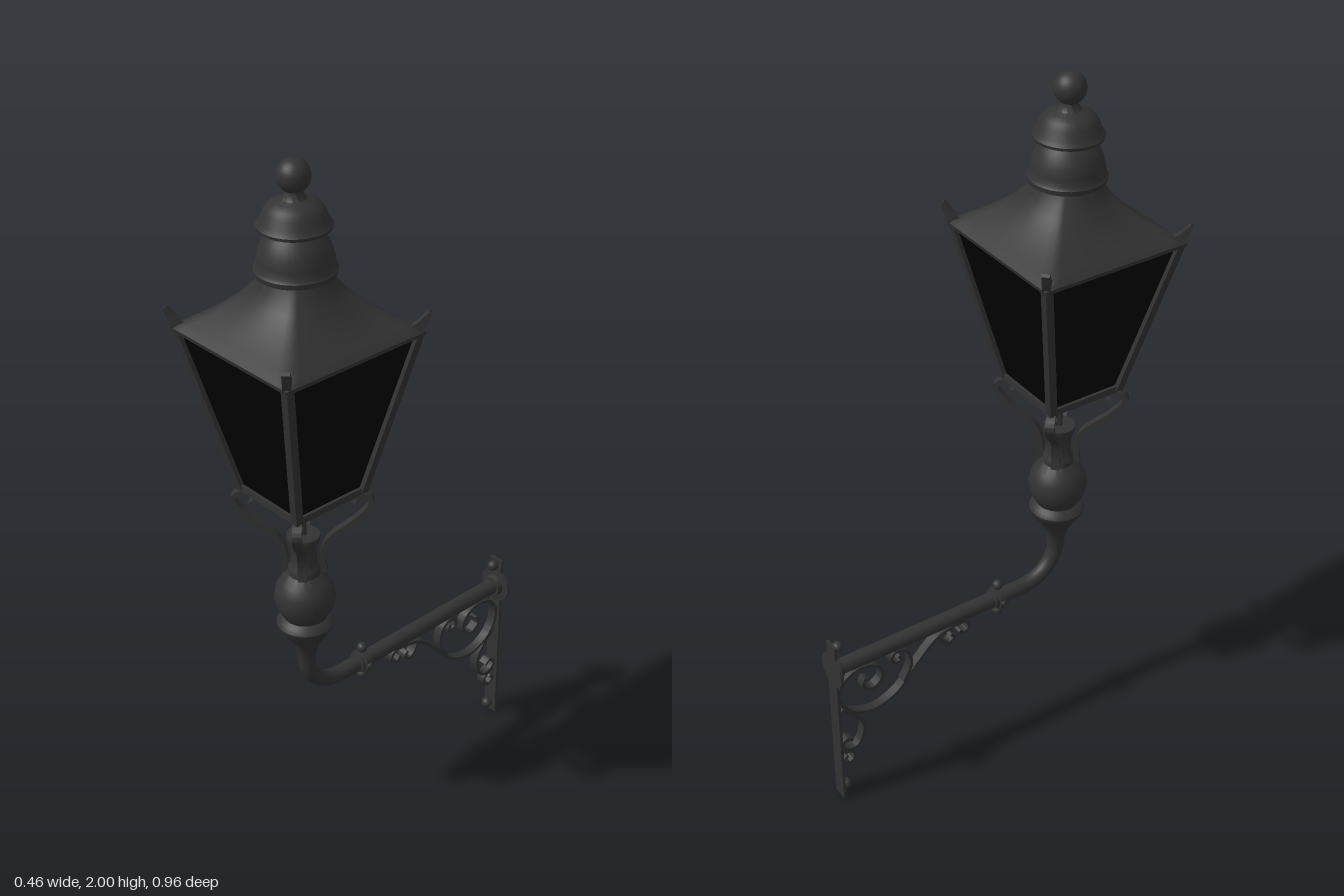
import * as THREE from 'three';
import { toCreasedNormals } from 'three/addons/utils/BufferGeometryUtils.js';

const iron = new THREE.MeshStandardMaterial({ color: 0x323232 });
iron.name = 'dark iron';
const black = new THREE.MeshStandardMaterial({ color: 0x010101 });
black.name = 'black glass';

const V2 = (p) => new THREE.Vector2(p[0], p[1]);
const V3 = (x, y, z) => new THREE.Vector3(x, y, z);

function add(parent, name, geo, mat = iron, x = 0, y = 0, z = 0) {
  const m = new THREE.Mesh(geo, mat);
  m.name = name;
  m.position.set(x, y, z);
  parent.add(m);
  return m;
}

const lathe = (pts, seg = 36) =>
  toCreasedNormals(new THREE.LatheGeometry(pts.map(V2), seg), 0.7);

// Outline of [z, y] points extruded along x, centred on x = 0
function slab(outline, width) {
  const g = new THREE.ExtrudeGeometry(new THREE.Shape(outline), { depth: width, bevelEnabled: false });
  g.translate(0, 0, -width / 2);
  g.rotateY(-Math.PI / 2);
  return toCreasedNormals(g, 0.7);
}

// Flat strap bent along a planar curve of [z, y] points
function strap(pts, thick, width) {
  const curve = new THREE.SplineCurve(pts.map(V2));
  const n = pts.length * 7, a = [], b = [];
  for (let i = 0; i <= n; i++) {
    const p = curve.getPoint(i / n), t = curve.getTangent(i / n);
    const dx = -t.y * thick / 2, dy = t.x * thick / 2;
    a.push(new THREE.Vector2(p.x + dx, p.y + dy));
    b.unshift(new THREE.Vector2(p.x - dx, p.y - dy));
  }
  return slab(a.concat(b), width);
}

// Square bar between two points
function bar(parent, name, p, q, w) {
  const dir = q.clone().sub(p);
  const m = add(parent, name, new THREE.BoxGeometry(w, dir.length(), w));
  m.position.copy(p).add(q).multiplyScalar(0.5);
  m.quaternion.setFromUnitVectors(V3(0, 1, 0), dir.normalize());
}

// Square frustum with half widths at top and bottom
function frustum(top, bottom, h) {
  const g = new THREE.CylinderGeometry(top * Math.SQRT2, bottom * Math.SQRT2, h, 4);
  g.rotateY(Math.PI / 4);
  return toCreasedNormals(g, 0.5);
}

// Swept roof that turns from a square eave into a round neck: levels of [y, half width, roundness]
function roofGeometry() {
  const levels = [[1.574, 0.215, 0], [1.584, 0.205, 0.01], [1.595, 0.19, 0.05], [1.615, 0.165, 0.16],
    [1.64, 0.138, 0.34], [1.67, 0.112, 0.6], [1.70, 0.092, 0.86], [1.735, 0.08, 1]];
  const n = 64, pos = [], idx = [];
  for (const [y, h, k] of levels) {
    for (let i = 0; i <= n; i++) {
      const a = i / n * Math.PI * 2, c = Math.cos(a), s = Math.sin(a);
      const r = h * (k + (1 - k) / Math.max(Math.abs(c), Math.abs(s)));
      pos.push(c * r, y, s * r);
    }
  }
  for (let j = 0; j < levels.length - 1; j++) {
    for (let i = 0; i < n; i++) {
      const p = j * (n + 1) + i, q = p + n + 1;
      idx.push(p, q, p + 1, q, q + 1, p + 1);
    }
  }
  const g = new THREE.BufferGeometry();
  g.setAttribute('position', new THREE.Float32BufferAttribute(pos, 3));
  g.setIndex(idx);
  return toCreasedNormals(g, 1.7);
}

function buildLantern() {
  const g = new THREE.Group();
  g.name = 'lantern';

  // Glazed body and its frame
  add(g, 'glass', frustum(0.199, 0.105, 0.43), black, 0, 1.347, 0);
  add(g, 'eavePlate', frustum(0.215, 0.211, 0.012), iron, 0, 1.568, 0);
  for (let k = 0; k < 4; k++) {
    const side = new THREE.Group();
    side.name = 'frameSide';
    side.rotation.y = k * Math.PI / 2;
    g.add(side);
    bar(side, 'cornerBar', V3(0.106, 1.125, 0.106), V3(0.2, 1.565, 0.2), 0.022);
    bar(side, 'bottomRail', V3(-0.113, 1.13, 0.106), V3(0.113, 1.13, 0.106), 0.018);

    // Upturned horn on each roof corner
    const corner = new THREE.Group();
    corner.name = 'corner';
    corner.rotation.y = Math.PI / 4;
    side.add(corner);
    const horn = [[0.262, 1.558], [0.286, 1.56], [0.298, 1.575], [0.306, 1.6], [0.315, 1.622],
      [0.309, 1.628], [0.293, 1.612], [0.28, 1.597], [0.262, 1.588]];
    add(corner, 'cornerHorn', slab(horn.map(V2), 0.02));

    // Curled supporting bracket under each corner
    add(corner, 'supportScroll', strap([[0.053, 0.88], [0.049, 0.925], [0.068, 0.981], [0.14, 1.045],
      [0.174, 1.09], [0.155, 1.114], [0.123, 1.11], [0.115, 1.09], [0.132, 1.083]], 0.015, 0.024));
  }

  // Roof, tiered vent and ball finial
  add(g, 'roof', roofGeometry());
  add(g, 'vent', lathe([[0, 1.72], [0.098, 1.722], [0.1, 1.735], [0.094, 1.742], [0.093, 1.76],
    [0.087, 1.785], [0.074, 1.812], [0.062, 1.826], [0.062, 1.833], [0.088, 1.835], [0.09, 1.843],
    [0.08, 1.855], [0.074, 1.875], [0.062, 1.89], [0.045, 1.9], [0.03, 1.905], [0.022, 1.918], [0.02, 1.935]]));
  add(g, 'finialBall', new THREE.SphereGeometry(0.041, 28, 18), iron, 0, 1.959, 0);

  // Gas pipe, collar and turned vase
  add(g, 'feedPipe', new THREE.CylinderGeometry(0.009, 0.009, 0.17, 14), iron, 0, 1.055, 0);
  add(g, 'vase', lathe([[0.023, 0.57], [0.026, 0.61], [0.034, 0.642], [0.05, 0.67], [0.063, 0.69],
    [0.074, 0.706], [0.077, 0.718], [0.07, 0.73], [0.058, 0.738], [0.064, 0.749], [0.075, 0.77],
    [0.081, 0.798], [0.076, 0.828], [0.062, 0.852], [0.042, 0.872], [0.042, 0.89],
    [0.034, 0.9], [0.033, 0.95], [0.043, 0.975], [0.043, 0.99], [0, 0.99]]));
  return g;
}

function buildBracket() {
  const g = new THREE.Group();
  g.name = 'wallBracket';

  // Bent arm
  const path = new THREE.CurvePath();
  path.add(new THREE.LineCurve3(V3(0, 0.62, 0.253), V3(0, 0.59, 0.253)));
  path.add(new THREE.CubicBezierCurve3(V3(0, 0.59, 0.253), V3(0, 0.52, 0.25), V3(0, 0.475, 0.2), V3(0, 0.475, 0.13)));
  path.add(new THREE.LineCurve3(V3(0, 0.475, 0.13), V3(0, 0.475, -0.472)));
  add(g, 'arm', new THREE.TubeGeometry(path, 90, 0.0225, 20));

  // Coupling with four knobs
  const collar = lathe([[0.022, -0.022], [0.028, -0.02], [0.028, -0.01], [0.034, -0.008],
    [0.034, 0.008], [0.028, 0.01], [0.028, 0.02], [0.022, 0.022]], 24);
  collar.rotateX(Math.PI / 2);
  add(g, 'coupling', collar, iron, 0, 0.475, 0.055);
  for (const s of [-1, 1]) {
    add(g, 'couplingKnob', new THREE.SphereGeometry(0.015, 16, 12), iron, 0, 0.475 + s * 0.045, 0.055);
    add(g, 'couplingStud', new THREE.SphereGeometry(0.01, 12, 8), iron, s * 0.03, 0.475, 0.055);
  }

  // Wall plate, round flange and bolts
  add(g, 'wallPlate', new THREE.BoxGeometry(0.044, 0.565, 0.008), iron, 0, 0.2825, -0.477);
  const flange = lathe([[0, -0.006], [0.052, -0.006], [0.052, 0.002], [0.032, 0.004], [0.028, 0.018], [0, 0.018]]);
  flange.rotateX(Math.PI / 2);
  add(g, 'flange', flange, iron, 0, 0.475, -0.475);
  for (const y of [0.032, 0.548]) {
    add(g, 'bolt', new THREE.SphereGeometry(0.016, 16, 12), iron, 0, y, -0.46);
  }

  // Ornamental scrolls, as [z, y] paths
  const scrolls = {
    mainScroll: [[-0.08, 0.425], [-0.068, 0.412], [-0.05, 0.42], [-0.05, 0.44], [-0.068, 0.453], [-0.11, 0.449],
      [-0.16, 0.432], [-0.222, 0.373], [-0.286, 0.304], [-0.365, 0.278], [-0.44, 0.31], [-0.47, 0.378],
      [-0.444, 0.431], [-0.392, 0.447], [-0.344, 0.426], [-0.333, 0.384], [-0.365, 0.357], [-0.394, 0.378], [-0.385, 0.405]],
    upperCurl: [[-0.28, 0.432], [-0.272, 0.415], [-0.29, 0.41], [-0.302, 0.43], [-0.285, 0.45],
      [-0.25, 0.432], [-0.24, 0.38], [-0.265, 0.33]],
    smallCurl: [[-0.15, 0.438], [-0.135, 0.41], [-0.115, 0.397], [-0.098, 0.412], [-0.11, 0.425]],
    lowerScroll: [[-0.465, 0.325], [-0.418, 0.278], [-0.397, 0.23], [-0.413, 0.177], [-0.444, 0.167],
      [-0.471, 0.188], [-0.455, 0.21], [-0.435, 0.197]],
    lowerCurl: [[-0.47, 0.17], [-0.437, 0.155], [-0.432, 0.133], [-0.45, 0.118], [-0.467, 0.133], [-0.455, 0.146]],
  };
  for (const [name, pts] of Object.entries(scrolls)) add(g, name, strap(pts, 0.009, 0.026));
  return g;
}

export function createModel() {
  const model = new THREE.Group();
  model.name = 'wallLantern';
  const lantern = buildLantern();
  lantern.position.z = 0.253;
  model.add(lantern, buildBracket());
  return model;
}
